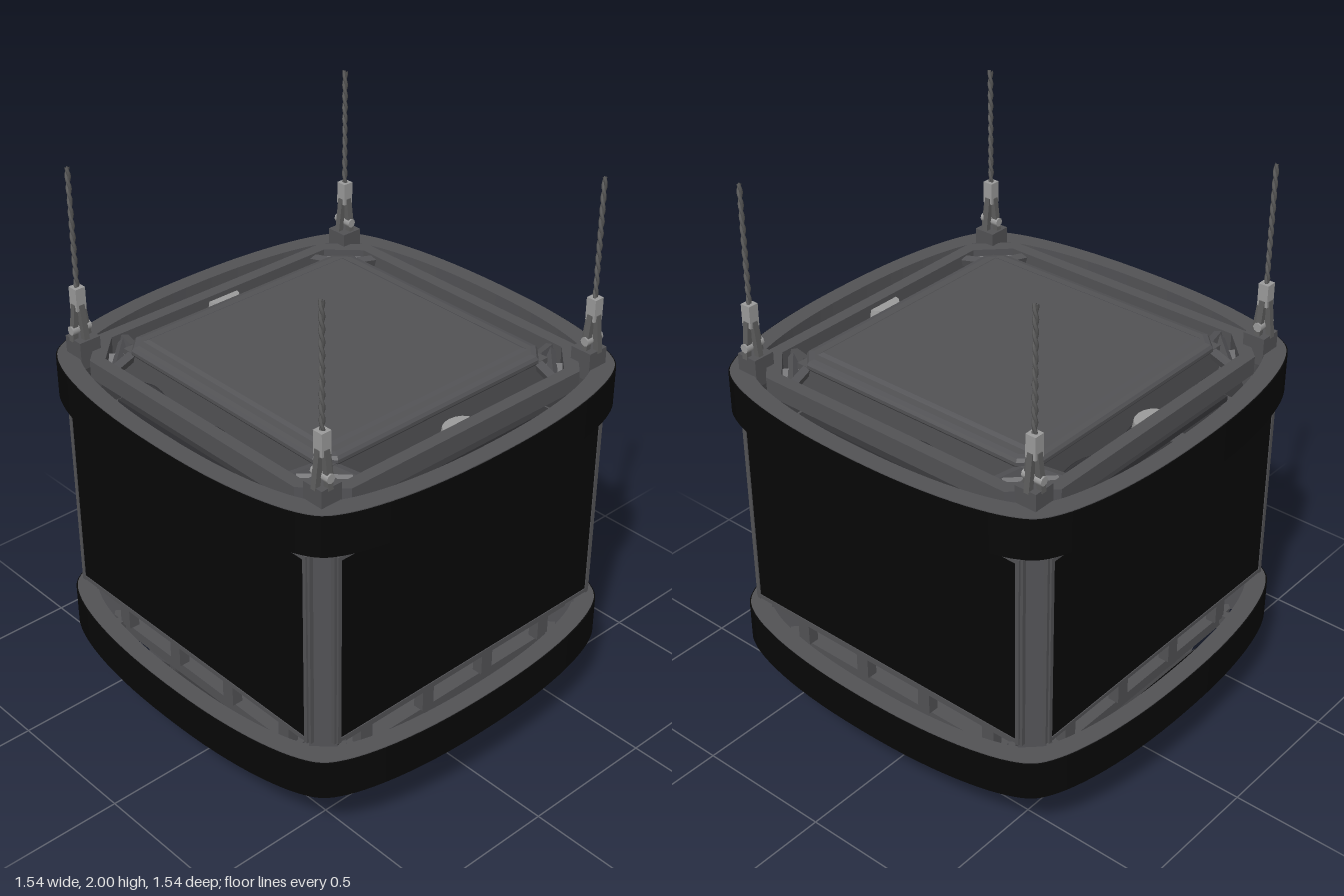
import * as THREE from 'three';

const mat = (name, color) => {
  const m = new THREE.MeshStandardMaterial({ color });
  m.name = name;
  return m;
};

export function createModel() {
  const grey = mat('frame grey', 0x525255);
  const dark = mat('dark grey', 0x343437);
  const black = mat('screen black', 0x070707);
  const steel = mat('cable steel', 0x5c5c5c);
  const light = mat('light metal', 0x9b9b9b);
  const model = new THREE.Group();
  model.name = 'hangingScoreboard';

  const add = (parent, name, geo, material, x = 0, y = 0, z = 0) => {
    const m = new THREE.Mesh(geo, material);
    m.name = name;
    m.position.set(x, y, z);
    parent.add(m);
    return m;
  };
  const box = (parent, name, w, h, d, material, x, y, z) =>
    add(parent, name, new THREE.BoxGeometry(w, h, d), material, x, y, z);

  // Straight square bar between two points
  const strut = (parent, name, a, b, w, material) => {
    const p = new THREE.Vector3(...a), q = new THREE.Vector3(...b);
    const m = box(parent, name, w, p.distanceTo(q), w, material, 0, 0, 0);
    m.position.copy(p).add(q).multiplyScalar(0.5);
    m.quaternion.setFromUnitVectors(new THREE.Vector3(0, 1, 0), q.sub(p).normalize());
    return m;
  };
  const tube = (parent, name, pts, r, material, segs = 40) => add(parent, name,
    new THREE.TubeGeometry(new THREE.CatmullRomCurve3(pts), segs, r, 6), material);

  // Flat hollow slab lying between y0 and y1 (outlines run counter-clockwise)
  const slab = (parent, name, outer, inner, y0, y1, material) => {
    const shape = new THREE.Shape(outer);
    shape.holes.push(new THREE.Path(inner));
    const g = new THREE.ExtrudeGeometry(shape, { depth: y1 - y0, bevelEnabled: false });
    g.rotateX(-Math.PI / 2);
    return add(parent, name, g, material, 0, y0, 0);
  };

  // Bowed square outline of the two ring displays
  const quarter = [[0.58, 0.69], [0.45, 0.73], [0.25, 0.76], [0, 0.77],
    [-0.25, 0.76], [-0.45, 0.73], [-0.58, 0.69], [-0.648, 0.648]];
  const outline = (inset) => {
    const pts = [];
    for (let i = 0; i < 4; i++) {
      for (const [x, y] of quarter) {
        pts.push(new THREE.Vector3(x, y, 0).applyAxisAngle(new THREE.Vector3(0, 0, 1), i * Math.PI / 2));
      }
    }
    return new THREE.CatmullRomCurve3(pts, true).getPoints(128).slice(0, 128)
      .map((p) => new THREE.Vector2(p.x, p.y).multiplyScalar(1 - inset));
  };
  const octagon = (h, c) => [[h, c - h], [h, h - c], [h - c, h], [c - h, h], [-h, h - c], [-h, c - h], [c - h, -h], [h - c, -h]]
    .map((p) => new THREE.Vector2(...p));

  for (const [name, y] of [['lowerRing', 0.25], ['upperRing', 1.19]]) {
    const ring = new THREE.Group();
    ring.name = name;
    model.add(ring);
    slab(ring, name + 'Body', outline(0.005), outline(0.085), y, y + 0.15, grey);
    slab(ring, name + 'Display', outline(0), outline(0.005), y + 0.003, y + 0.147, black);
  }

  // Chamfered carrying frames
  slab(model, 'upperFrame', octagon(0.62, 0.12), octagon(0.575, 0.1), 1.29, 1.355, grey);
  slab(model, 'upperInnerFrame', octagon(0.6, 0.1), octagon(0.5, 0.03), 1.17, 1.2, dark);
  slab(model, 'lowerFrame', octagon(0.62, 0.1), octagon(0.5, 0.03), 0.4, 0.45, grey);
  slab(model, 'baseFrame', octagon(0.6, 0.1), octagon(0.36, 0.01), 0.27, 0.31, grey);

  // Core and roof
  box(model, 'core', 0.98, 1.05, 0.98, grey, 0, 0.83, 0);
  box(model, 'ceilingPlate', 0.72, 0.02, 0.72, dark, 0, 0.29, 0);
  const roof = new THREE.ExtrudeGeometry(new THREE.Shape(octagon(0.47, 0.04)),
    { depth: 0.012, bevelEnabled: true, bevelSize: 0.025, bevelThickness: 0.015, bevelSegments: 2 });
  roof.rotateX(-Math.PI / 2);
  add(model, 'roofEdge', roof, grey, 0, 1.355, 0);
  const panel = new THREE.CylinderGeometry(0.43 * Math.SQRT2, 0.45 * Math.SQRT2, 0.012, 4, 1)
    .rotateY(Math.PI / 4).toNonIndexed();
  panel.computeVertexNormals();
  add(model, 'roofPanel', panel, grey, 0, 1.384, 0);

  for (let i = 0; i < 4; i++) {
    const side = new THREE.Group();
    side.name = 'side' + (i + 1);
    side.rotation.y = i * Math.PI / 2;
    model.add(side);

    // Main screen: thin case standing off the body, with a narrow rim
    box(side, 'screenCase', 1.2, 0.73, 0.014, grey, 0, 0.815, 0.645);
    box(side, 'screen', 1.15, 0.69, 0.006, black, 0, 0.81, 0.653);
    for (const s of [-1, 1]) {
      box(side, 'screenRimSide', 0.014, 0.72, 0.012, grey, s * 0.583, 0.81, 0.653);
      box(side, 'screenRimEdge', 1.18, 0.014, 0.012, grey, 0, 0.811 + s * 0.35, 0.653);
    }
    // Standoffs between the screen, rings and core
    for (const x of [-0.42, -0.14, 0.14, 0.42]) {
      box(side, 'upperStandoff', 0.06, 0.05, 0.14, grey, x, 1.18, 0.57);
      box(side, 'lowerStandoff', 0.05, 0.14, 0.04, grey, x, 0.38, 0.59);
    }
    for (const x of [-0.45, 0.45]) {
      box(side, 'ringBracket', 0.03, 0.04, 0.14, grey, x, 0.3, 0.63);
      strut(side, 'roofBrace', [x, 1.34, 0.49], [x * 0.93, 1.33, 0.6], 0.028, grey);
    }

    // Cable bundles in the roof channel
    box(side, 'channelFloor', 0.8, 0.02, 0.1, dark, 0, 1.23, 0.54);
    for (let k = 0; k < 4; k++) {
      const pts = [];
      for (let j = 0; j <= 10; j++) {
        pts.push(new THREE.Vector3(-0.4 + j * 0.08, 1.27 + 0.012 * Math.sin(j * 1.3 + k),
          0.51 + k * 0.018 + 0.01 * Math.sin(j * 1.7 + k * 2 + i)));
      }
      tube(side, 'roofCable', pts, 0.008, k % 2 ? grey : dark);
    }

    // Slanted lower screen
    const lower = new THREE.Group();
    lower.name = 'lowerScreen';
    lower.position.set(0, 0.118, 0.542);
    lower.rotation.x = 0.725;
    side.add(lower);
    box(lower, 'lowerScreenCase', 0.74, 0.295, 0.03, grey, 0, 0, -0.02);
    box(lower, 'lowerScreenFace', 0.71, 0.27, 0.006, black, 0, 0, -0.003);
    box(lower, 'lowerScreenBack', 0.73, 0.06, 0.006, black, 0, 0.115, -0.036);
    for (const s of [-1, 1]) {
      box(lower, 'lowerRimSide', 0.014, 0.295, 0.012, grey, s * 0.363, 0, -0.002);
      box(lower, 'lowerRimEdge', 0.74, 0.012, 0.012, grey, 0, s * 0.1415, -0.002);
      strut(side, 'lowerScreenArm', [s * 0.3, 0.28, 0.5], [s * 0.3, 0.12, 0.49], 0.03, grey);
    }
    // Inner skirt with slots
    box(side, 'skirt', 0.72, 0.26, 0.015, grey, 0, 0.16, 0.362);
    for (const x of [-0.28, -0.12, 0.12, 0.28]) {
      box(side, 'skirtSlot', 0.014, 0.05, 0.006, dark, x, 0.18, 0.353);
    }
    box(side, 'skirtLip', 0.74, 0.015, 0.07, grey, 0, 0.03, 0.4);

    // Corner post, lower corner strut and speaker
    const post = box(side, 'cornerPost', 0.1, 0.75, 0.04, grey, 0.602, 0.82, 0.602);
    post.rotation.y = Math.PI / 4;
    const base = box(side, 'cornerBase', 0.09, 0.17, 0.09, grey, 0.56, 0.37, 0.56);
    base.rotation.y = Math.PI / 4;
    const foot = strut(side, 'cornerStrut', [0.49, 0.28, 0.49], [0.425, 0.022, 0.425], 0.06, grey);
    foot.rotateY(Math.PI / 4);
    strut(side, 'cornerSpeaker', [0.46, 0.27, 0.46], [0.455, 0.17, 0.455], 0.1, grey);
    strut(side, 'cornerBrace', [0.44, 1.33, 0.56], [0.56, 1.33, 0.44], 0.025, grey);
    strut(side, 'cornerTie', [0.47, 1.31, 0.47], [0.58, 1.31, 0.58], 0.035, grey);

    // Hanger: lug, shackle legs, clamp and twisted cable
    const hanger = new THREE.Group();
    hanger.name = 'hanger';
    hanger.position.set(0.588, 0, 0.588);
    side.add(hanger);
    box(hanger, 'lug', 0.08, 0.1, 0.08, grey, -0.005, 1.35, -0.005);
    for (const s of [-1, 1]) {
      strut(hanger, 'shackleLeg', [s * 0.028, 1.39, 0], [s * 0.012, 1.52, 0], 0.02, steel);
      strut(hanger, 'shackleLink', [0, 1.39, s * 0.028], [0, 1.52, s * 0.012], 0.02, steel);
    }
    add(hanger, 'shacklePin', new THREE.CylinderGeometry(0.016, 0.016, 0.075, 8).rotateZ(Math.PI / 2), light, 0, 1.43, 0);
    box(hanger, 'clamp', 0.038, 0.08, 0.038, light, 0, 1.54, 0);
    for (const phase of [0, Math.PI]) {
      const pts = [];
      for (let j = 0; j <= 48; j++) {
        const a = phase + j * Math.PI / 4;
        pts.push(new THREE.Vector3(0.004 * Math.cos(a), 1.5 + j * 0.5 / 48, 0.004 * Math.sin(a)));
      }
      tube(hanger, 'cableStrand', pts, 0.006, steel, 96);
    }
  }

  // Roof lamps front and back, rounded towards the middle
  for (const s of [-1, 1]) {
    const lamp = add(model, 'roofLamp', new THREE.CylinderGeometry(0.062, 0.07, 0.04, 8, 1, false,
      s > 0 ? Math.PI / 2 : -Math.PI / 2, Math.PI), light, 0, 1.32, s * 0.57);
    lamp.scale.z = 0.75;
  }
  return model;
}
